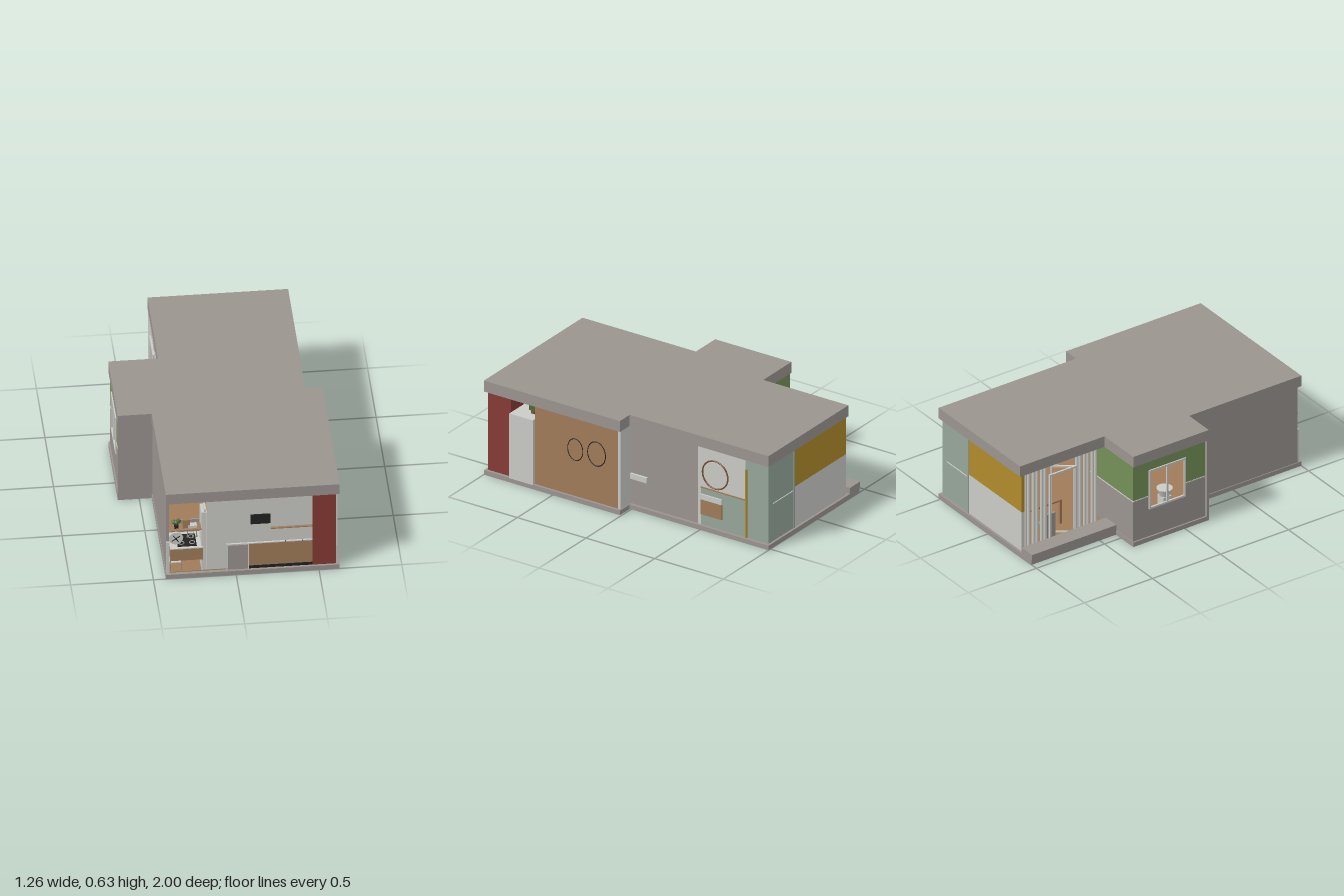
import * as THREE from 'three';

export function createModel() {
  const model = new THREE.Group();
  model.name = 'apartment';

  const mat = (name, color, side = THREE.FrontSide) => {
    const m = new THREE.MeshStandardMaterial({ color, side });
    m.name = name;
    return m;
  };
  const stone = mat('stone grey', 0x9a948f);
  const white = mat('plaster white', 0xcacac6);
  const wood = mat('wood brown', 0xa07b58);
  const red = mat('brick red', 0x863a34);
  const green = mat('leaf green', 0x748e58);
  const sage = mat('sage', 0x95a699);
  const ochre = mat('ochre', 0xb08a2c);
  const black = mat('black', 0x222222);
  const darkWood = mat('dark wood', 0x7a573c);
  const darkGreen = mat('plant green', 0x4d6b35);

  const add = (name, geometry, material, parent = model) => {
    const mesh = new THREE.Mesh(geometry, material);
    mesh.name = name;
    parent.add(mesh);
    return mesh;
  };
  // Box given by its limits on each axis
  const box = (name, material, x0, x1, y0, y1, z0, z1) => {
    const mesh = add(name, new THREE.BoxGeometry(x1 - x0, y1 - y0, z1 - z0), material);
    mesh.position.set((x0 + x1) / 2, (y0 + y1) / 2, (z0 + z1) / 2);
    return mesh;
  };
  // Horizontal slab from an x/z outline
  const slab = (name, material, outline, y0, y1) => {
    const shape = new THREE.Shape(outline.map(([x, z]) => new THREE.Vector2(x, -z)));
    const g = new THREE.ExtrudeGeometry(shape, { depth: y1 - y0, bevelEnabled: false });
    g.rotateX(-Math.PI / 2);
    g.translate(0, y0, 0);
    return add(name, g, material);
  };
  const F = 0.03, C = 0.555, MID = 0.31;

  // Floor, roof and balcony edge
  const outline = (backX, inset = 0) => [
    [backX + inset, -1 + inset], [0.52 - inset, -1 + inset], [0.52 - inset, 0.01 + inset],
    [0.625 - inset, 0.01 + inset], [0.625 - inset, 1 - inset], [-0.425 + inset, 1 - inset],
    [-0.425 + inset, 0.175 - inset], [-0.63 + inset, 0.175 - inset],
    [-0.63 + inset, -0.38 + inset], [backX + inset, -0.38 + inset]];
  slab('floorSlab', stone, outline(-0.45), 0, F);
  slab('woodFloor', wood, outline(-0.33, 0.022), F, F + 0.004);
  slab('roof', stone, outline(-0.33), C, 0.628);
  box('balconyEdge', stone, -0.455, -0.345, F, 0.07, -1, -0.38);

  // Front wall
  box('frontWall', white, -0.175, 0.465, F, C, 0.955, 0.975);
  box('redPillar', red, 0.462, 0.605, F, C, 0.815, 0.985);
  box('screen', black, 0.09, 0.208, 0.357, 0.425, 0.975, 0.983);
  box('wallShelf', wood, 0.21, 0.463, 0.318, 0.324, 0.97, 0.99);
  box('sideboard', wood, 0.08, 0.463, 0.052, 0.213, 0.9, 0.985);
  box('sideboardPlinth', black, 0.08, 0.463, F, 0.052, 0.9, 0.984);
  box('sideboardTop', white, -0.058, 0.463, 0.213, 0.219, 0.9, 0.986);
  box('applianceFront', stone, -0.047, 0.074, F, 0.208, 0.9, 0.985);
  for (const x of [-0.056, 0.074]) box('applianceFrame', white, x, x + 0.006, F, 0.213, 0.9, 0.987);
  for (const x of [0.3, 0.4]) box('handle', black, x - 0.002, x + 0.002, 0.212, 0.222, 0.98, 0.988);

  // Kitchen corner
  box('kitchenSidePost', white, -0.208, -0.176, F, 0.46, 0.88, 0.975);
  box('kitchenSideCap', white, -0.19, -0.178, 0.46, 0.48, 0.88, 0.97);
  box('kitchenCounter', wood, -0.395, -0.2, 0.12, 0.206, 0.83, 0.985);
  box('counterTop', white, -0.397, -0.2, 0.206, 0.212, 0.82, 0.988);
  box('stove', black, -0.35, -0.235, 0.212, 0.217, 0.85, 0.97);
  for (const x of [-0.325, -0.26]) for (const z of [0.88, 0.94]) {
    const ring = add('burner', new THREE.TorusGeometry(0.016, 0.003, 6, 16), stone);
    ring.rotation.x = Math.PI / 2;
    ring.position.set(x, 0.219, z);
  }
  box('backsplash', stone, -0.322, -0.208, 0.215, 0.305, 0.815, 0.825);
  box('kitchenShelf', wood, -0.39, -0.21, 0.349, 0.356, 0.93, 1.0);
  box('kitchenRail', stone, -0.385, -0.215, 0.322, 0.328, 0.95, 0.958);
  for (const x of [-0.29, -0.255, -0.235]) {
    box('utensil', stone, x - 0.002, x + 0.002, 0.28, 0.325, 0.95, 0.955);
    box('utensilHead', stone, x - 0.006, x + 0.006, 0.268, 0.28, 0.95, 0.955);
  }
  box('breadBox', wood, -0.32, -0.277, 0.356, 0.414, 0.95, 0.98);
  box('jar', white, -0.29, -0.235, 0.356, 0.374, 0.95, 0.985);
  box('plantPot', black, -0.37, -0.345, 0.356, 0.378, 0.955, 0.98);
  for (const [x, y, z] of [[-0.372, 0.4, 0.97], [-0.345, 0.402, 0.965], [-0.358, 0.408, 0.985]]) {
    const leaf = add('leaf', new THREE.IcosahedronGeometry(0.017, 0), darkGreen);
    leaf.position.set(x, y, z);
  }
  const plate = add('roundDial', new THREE.CylinderGeometry(0.043, 0.043, 0.012, 32), white);
  plate.rotation.x = Math.PI / 2;
  plate.position.set(-0.36, 0.265, 0.95);
  for (const a of [0.6, 2.2]) {
    const hand = box('dialHand', black, -0.362, -0.358, 0.235, 0.295, 0.956, 0.96);
    hand.rotation.z = a;
  }
  for (const x of [-0.395, -0.33]) for (const z of [0.84, 0.96])
    box('stoolLeg', stone, x, x + 0.005, F, 0.12, z, z + 0.005);
  box('stoolSeat', white, -0.397, -0.323, 0.09, 0.096, 0.84, 0.966);

  // Right side
  box('tallFridge', white, 0.47, 0.63, F, 0.462, 0.64, 0.812);
  box('nicheWall', white, 0.455, 0.468, F, C, 0.64, 0.815);
  for (const z of [0.65, 0.69]) {
    box('hangingPot', darkWood, 0.53, 0.56, 0.465, 0.49, z - 0.012, z + 0.012);
    box('hangingPlant', darkGreen, 0.52, 0.57, 0.49, C, z - 0.02, z + 0.02);
  }
  box('woodWall', wood, 0.585, 0.608, F, C, 0.035, 0.64);
  box('stepWall', white, 0.48, 0.608, F, C, 0.016, 0.035);
  const hoops = [[0.345, 0.34, 0.055, 0.072], [0.19, 0.353, 0.065, 0.08]];
  for (const [z, y, rz, ry] of hoops) {
    const hoop = add('wallHoop', new THREE.TorusGeometry(1, 0.045, 6, 40), black);
    hoop.scale.set(rz, ry, 0.06);
    hoop.rotation.y = Math.PI / 2;
    hoop.position.set(0.61, y, z);
  }
  box('greyWall', stone, 0.48, 0.5, F, C, -0.475, 0.016);
  box('sillShelf', white, 0.49, 0.515, 0.2, 0.235, -0.11, 0.012);
  box('divider', white, 0.48, 0.502, F, C, -0.495, -0.475);
  box('washWallUpper', white, 0.48, 0.5, 0.28, C, -0.82, -0.495);
  box('washWallLower', sage, 0.48, 0.5, F, 0.28, -0.82, -0.495);
  box('wallTrim', wood, 0.48, 0.505, 0.275, 0.282, -0.82, -0.495);
  box('vanity', wood, 0.47, 0.508, 0.1, 0.2, -0.65, -0.497);
  box('basin', white, 0.47, 0.51, 0.2, 0.235, -0.65, -0.497);
  const mirror = add('mirrorRing', new THREE.TorusGeometry(0.092, 0.005, 8, 48), darkWood);
  mirror.rotation.y = Math.PI / 2;
  mirror.position.set(0.503, 0.385, -0.6);
  box('ochrePost', ochre, 0.48, 0.506, F, 0.485, -0.832, -0.82);
  box('sageSide', sage, 0.48, 0.5, F, C, -0.98, -0.82);

  // Back wall
  box('sageBack', sage, 0.235, 0.5, F, C, -0.985, -0.965);
  box('sageRail', white, 0.24, 0.45, 0.279, 0.283, -0.99, -0.985);
  box('backJamb', sage, 0.222, 0.237, F, C, -0.99, -0.965);
  box('backUpper', ochre, -0.325, 0.222, 0.3, C, -0.985, -0.965);
  box('backLower', white, -0.325, 0.222, F, 0.3, -0.985, -0.965);

  // Balcony glazing: curtains and doors
  const curtain = (z0, z1) => {
    const pleats = Math.round((z1 - z0) / 0.03);
    const step = (z1 - z0) / pleats;
    for (let i = 0; i < pleats; i++) {
      const fold = add('curtainFold', new THREE.CylinderGeometry(0.011, 0.011, C - F, 8), white);
      fold.position.set(-0.32 + (i % 2) * 0.008, (C + F) / 2, z0 + (i + 0.5) * step);
    }
  };
  curtain(-0.97, -0.79);
  curtain(-0.59, -0.42);
  const doorFrame = (x, z, width, turn, y0, y1) => {
    const g = new THREE.Group();
    g.name = 'doorFrame';
    const t = 0.012;
    const rail = (w, h, px, py) => {
      add('frameBar', new THREE.BoxGeometry(w, h, t), white, g).position.set(px, py, 0);
    };
    for (const px of [t / 2, width - t / 2]) rail(t, y1 - y0, px, (y0 + y1) / 2);
    for (const py of [y0 + t / 2, y1 - t / 2]) rail(width, t, width / 2, py);
    g.position.set(x, 0, z);
    g.rotation.y = turn;
    model.add(g);
  };
  doorFrame(-0.335, -0.79, 0.2, -Math.PI / 2, F, 0.5);
  doorFrame(-0.335, -0.6, 0.15, 0.9, F, 0.5);

  // Side bay: green above, grey below, with a window
  const bands = [['Lower', stone, F, MID], ['Upper', green, MID, C]];
  const win = { y0: 0.22, y1: 0.49, z0: -0.26, z1: 0.01 };
  for (const [label, m, y0, y1] of bands) {
    box('bayBack' + label, m, -0.615, -0.178, y0, y1, -0.375, -0.355);
    box('baySideA' + label, m, -0.62, -0.6, y0, y1, -0.375, win.z0);
    box('baySideB' + label, m, -0.62, -0.6, y0, y1, win.z1, 0.16);
  }
  box('baySill', stone, -0.62, -0.6, F, win.y0, win.z0, win.z1);
  box('bayLintel', green, -0.62, -0.6, win.y1, C, win.z0, win.z1);
  box('bayTrim', white, -0.622, -0.178, MID - 0.003, MID + 0.003, -0.378, -0.352);
  box('bayTrim', white, -0.623, -0.6, MID - 0.003, MID + 0.003, -0.375, win.z0);
  box('bayTrim', white, -0.623, -0.6, MID - 0.003, MID + 0.003, win.z1, 0.16);
  doorFrame(-0.622, win.z0, win.z1 - win.z0, -Math.PI / 2, win.y0, win.y1);
  box('windowMullion', white, -0.626, -0.616, win.y0, win.y1, -0.13, -0.12);
  box('bayCorner', white, -0.623, -0.6, F, C, 0.153, 0.165);
  box('bayFront', stone, -0.63, -0.42, F, C, 0.16, 0.175);
  box('leftWall', stone, -0.42, -0.402, F, C, 0.175, 0.975);
  box('leftWallPost', white, -0.422, -0.402, F, 0.26, 0.975, 0.985);

  // Bay fittings and room furniture
  const bowl = add('washBowl', new THREE.CylinderGeometry(0.05, 0.03, 0.05, 20), white);
  bowl.position.set(-0.53, 0.24, -0.08);
  box('washStand', white, -0.56, -0.5, F, 0.215, -0.11, -0.05);
  box('deskTop', wood, -0.2, 0, 0.19, 0.2, -0.85, -0.6);
  for (const x of [-0.2, -0.015]) for (const z of [-0.85, -0.615])
    box('deskLeg', wood, x, x + 0.015, F, 0.19, z, z + 0.015);
  box('chairSeat', stone, -0.29, -0.22, 0.1, 0.12, -0.8, -0.72);
  box('chairBack', stone, -0.3, -0.285, F, 0.2, -0.8, -0.72);

  return model;
}
